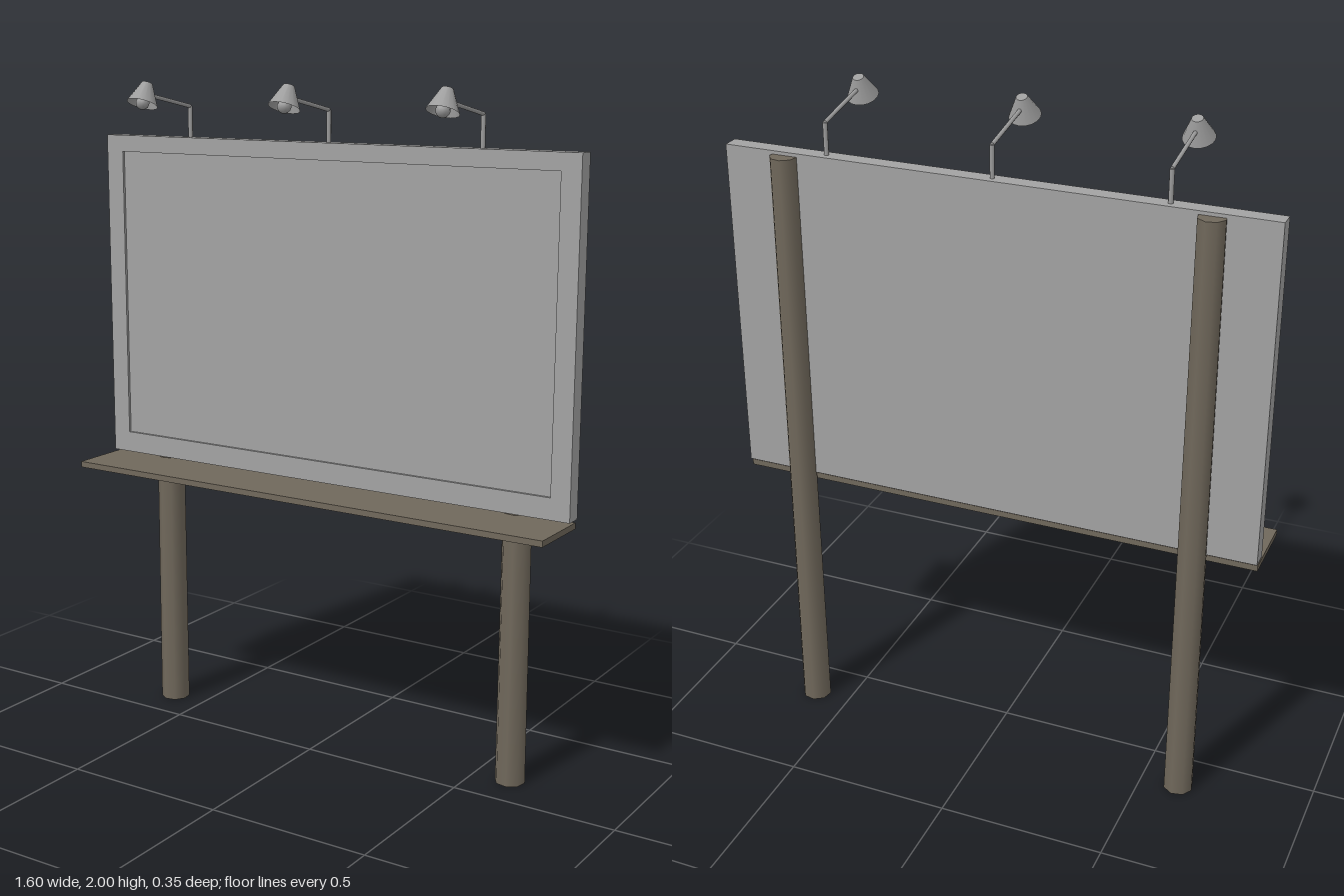
import * as THREE from 'three';

const panelGrey = new THREE.MeshStandardMaterial({ color: 0xa3a3a3 });
panelGrey.name = 'panel grey';
const woodBrown = new THREE.MeshStandardMaterial({ color: 0x70685b });
woodBrown.name = 'weathered brown';
const lampGrey = new THREE.MeshStandardMaterial({ color: 0x9c9c9c, side: THREE.DoubleSide });
lampGrey.name = 'lamp grey';

function add(parent, name, geometry, material, x = 0, y = 0, z = 0) {
  const mesh = new THREE.Mesh(geometry, material);
  mesh.name = name;
  mesh.position.set(x, y, z);
  parent.add(mesh);
  return mesh;
}

// Straight thin rod between two points
function rod(parent, name, a, b, radius) {
  const dir = b.clone().sub(a);
  const mesh = add(parent, name, new THREE.CylinderGeometry(radius, radius, dir.length(), 8), lampGrey);
  mesh.position.copy(a).add(b).multiplyScalar(0.5);
  mesh.quaternion.setFromUnitVectors(new THREE.Vector3(0, 1, 0), dir.normalize());
}

function rectangle(target, x0, y0, x1, y1) {
  target.moveTo(x0, y0);
  target.lineTo(x1, y0);
  target.lineTo(x1, y1);
  target.lineTo(x0, y1);
  target.closePath();
  return target;
}

function makeLamp(x) {
  const lamp = new THREE.Group();
  lamp.name = 'lamp';
  lamp.position.x = x;

  // Bent bracket rising from the board's top edge
  const elbow = new THREE.Vector3(0, 1.922, -0.1);
  rod(lamp, 'lampPost', new THREE.Vector3(0, 1.8, -0.1), elbow, 0.007);
  rod(lamp, 'lampArm', elbow, new THREE.Vector3(0, 1.962, 0.108), 0.006);

  // Tilted conical shade, open below, with its bulb
  const head = new THREE.Group();
  head.name = 'lampHead';
  head.position.set(0, 1.935, 0.13);
  head.rotation.x = -0.4;
  add(head, 'shade', new THREE.CylinderGeometry(0.016, 0.046, 0.064, 16, 1, true), lampGrey, 0, 0.032, 0);
  const cap = add(head, 'shadeCap', new THREE.CircleGeometry(0.016, 16), lampGrey, 0, 0.064, 0);
  cap.rotation.x = -Math.PI / 2;
  add(head, 'bulb', new THREE.SphereGeometry(0.02, 12, 8), lampGrey, 0, 0.004, 0);
  lamp.add(head);
  return lamp;
}

export function createModel() {
  const model = new THREE.Group();
  model.name = 'billboard';

  // Board with a raised border around the recessed face
  add(model, 'boardPanel', new THREE.BoxGeometry(1.6, 1.004, 0.042), panelGrey, 0, 1.328, -0.104);
  const border = rectangle(new THREE.Shape(), -0.8, 0.826, 0.8, 1.83);
  border.holes.push(rectangle(new THREE.Path(), -0.74, 0.89, 0.74, 1.78));
  add(model, 'boardFrame', new THREE.ExtrudeGeometry(border, { depth: 0.008, bevelEnabled: false }), panelGrey, 0, 0, -0.083);

  // Walkway shelf below the board
  add(model, 'walkway', new THREE.BoxGeometry(1.6, 0.018, 0.21), woodBrown, 0, 0.81, -0.01);

  // Tapered support posts
  for (const side of [-1, 1]) {
    const post = add(model, 'post', new THREE.CylinderGeometry(0.04, 0.045, 1.82, 8), woodBrown, side * 0.615, 0.91, -0.13);
    post.rotation.y = side * 0.2;
  }

  for (const x of [-0.495, 0, 0.495]) model.add(makeLamp(x));
  return model;
}
